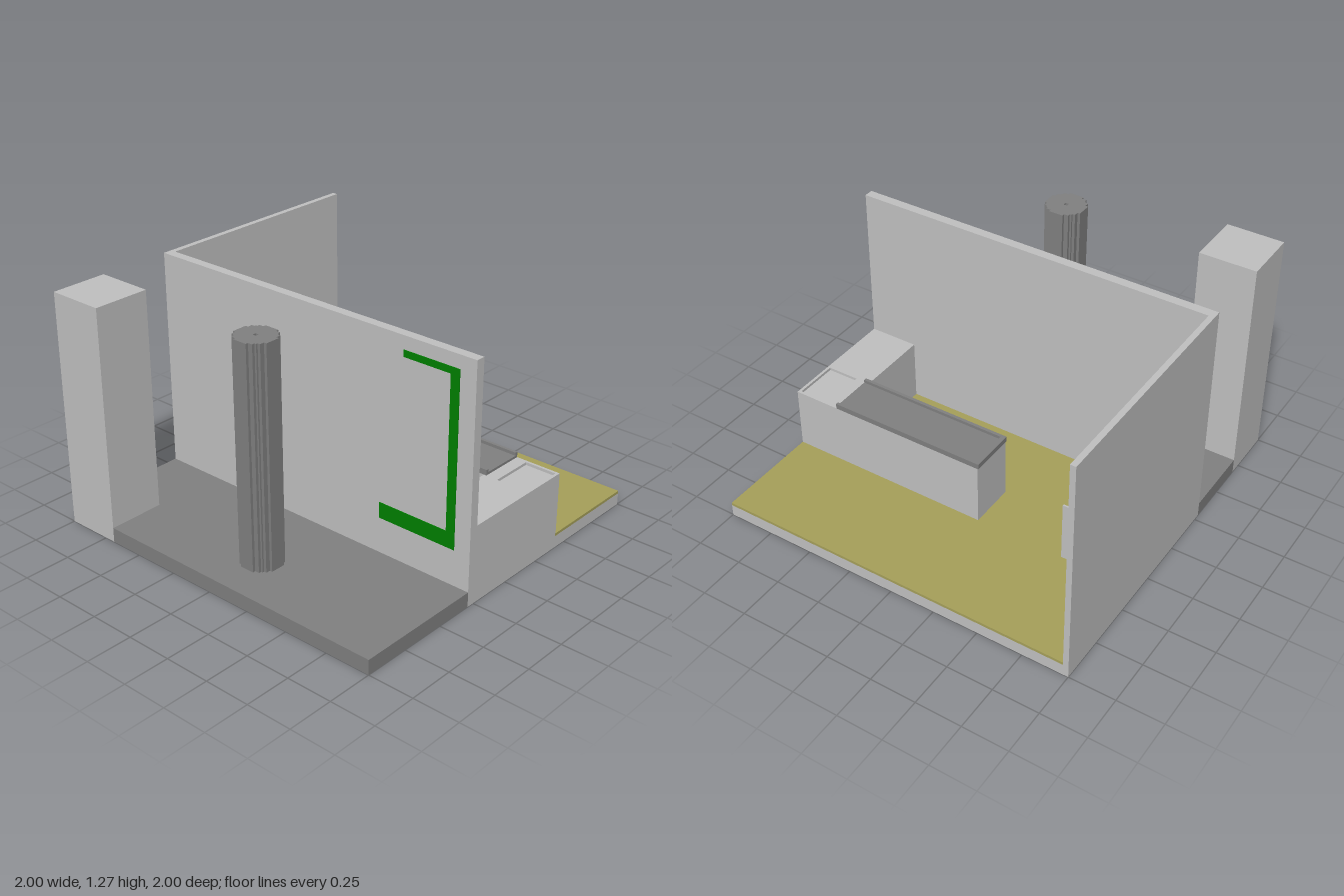
import * as THREE from 'three';

export function createModel() {
  const model = new THREE.Group();
  const material = (name, color) => {
    const m = new THREE.MeshStandardMaterial({ color });
    m.name = name;
    return m;
  };
  const lightGrey = material('light grey', 0xc0c0c0);
  const darkGrey = material('dark grey', 0x808080);
  const olive = material('olive floor', 0xa6a05a);
  const green = material('green paint', 0x008000);

  const add = (name, geometry, mat) => {
    const mesh = new THREE.Mesh(geometry, mat);
    mesh.name = name;
    model.add(mesh);
    return mesh;
  };
  // Box given by its lower and upper limits on each axis
  const box = (name, mat, x0, x1, y0, y1, z0, z1) => {
    const g = new THREE.BoxGeometry(x1 - x0, y1 - y0, z1 - z0);
    g.translate((x0 + x1) / 2, (y0 + y1) / 2, (z0 + z1) / 2);
    return add(name, g, mat);
  };
  // Plan outline (x, z) raised from y0 to y1
  const prism = (name, mat, shape, y0, y1) => {
    const g = new THREE.ExtrudeGeometry(shape, { depth: y1 - y0, bevelEnabled: false });
    g.rotateX(-Math.PI / 2).translate(0, y0, 0);
    return add(name, g, mat);
  };
  const outline = (pts) => pts.map(([x, z]) => new THREE.Vector2(x, -z));
  const rect = (x0, x1, z0, z1) => outline([[x0, z0], [x0, z1], [x1, z1], [x1, z0]]);

  const H = 1.27, FLOOR = 0.08, BED = 0.065, TOP = 0.42;

  // Ground slabs and inner floor
  box('outerSlab', darkGrey, -1, -0.29, 0, FLOOR, -0.69, 1);
  box('outerSlabBack', darkGrey, -0.69, -0.29, 0, FLOOR, -1, -0.69);
  box('roomBase', lightGrey, -0.29, 1, 0, BED, -1, 1);
  box('roomFloor', olive, -0.24, 0.42, BED, FLOOR, -0.97, 0.73);
  box('roomFloorSide', olive, 0.42, 1, BED, FLOOR, -0.97, 1);

  // Walls, square pillar and low partition
  box('sideWall', lightGrey, -0.29, -0.24, BED, H, -1, 1);
  box('backWall', lightGrey, -0.24, 1, BED, H, -1, -0.97);
  box('squarePillar', lightGrey, -1, -0.69, 0, H, -1, -0.69);
  box('partition', lightGrey, 0.412, 0.422, FLOOR, TOP, -0.97, -0.61);

  // Counter: front leg with a shallow basin, long leg behind it
  box('counterFront', lightGrey, -0.24, 0.425, BED, TOP - 0.015, 0.73, 1);
  const counterTop = new THREE.Shape(rect(-0.24, 0.425, 0.73, 1));
  counterTop.holes.push(new THREE.Path(rect(0.17, 0.41, 0.81, 0.985)));
  prism('counterTop', lightGrey, counterTop, TOP - 0.015, TOP);
  box('counterLong', lightGrey, 0.17, 0.425, BED, TOP, -0.125, 0.73);

  // Tray with a raised rim on three sides
  box('tray', darkGrey, 0.17, 0.425, TOP, 0.433, -0.13, 0.745);
  const rim = new THREE.Shape(outline([
    [0.17, 0.745], [0.187, 0.745], [0.187, -0.105], [0.41, -0.105],
    [0.41, 0.745], [0.425, 0.745], [0.425, -0.13], [0.17, -0.13],
  ]));
  prism('trayRim', darkGrey, rim, 0.433, 0.45);

  // Stepped round column, one quarter outline turned four times
  const quarter = [
    [0.105, 0.04], [0.09, 0.04], [0.09, 0.065], [0.075, 0.065], [0.075, 0.075],
    [0.065, 0.075], [0.065, 0.09], [0.04, 0.09], [0.04, 0.105],
  ];
  const ring = [];
  for (let i = 0; i < 4; i++) {
    for (const [a, b] of quarter) {
      const [x, z] = [[a, b], [-b, a], [-a, -b], [b, -a]][i];
      ring.push([-0.725 + x, 0.085 + z]);
    }
  }
  const column = new THREE.Shape(outline(ring));
  column.holes.push(new THREE.Path(rect(-0.735, -0.715, 0.075, 0.095)));
  prism('roundColumn', darkGrey, column, FLOOR, H);

  // Painted band on the outside of the side wall
  const band = (name, y0, y1, z0, z1) => box(name, green, -0.294, -0.29, y0, y1, z0, z1);
  band('bandTop', 1.165, 1.2, 0.59, 0.91);
  band('bandUpright', 0.36, 1.165, 0.86, 0.91);
  band('bandBottom', 0.275, 0.36, 0.455, 0.91);

  return model;
}
